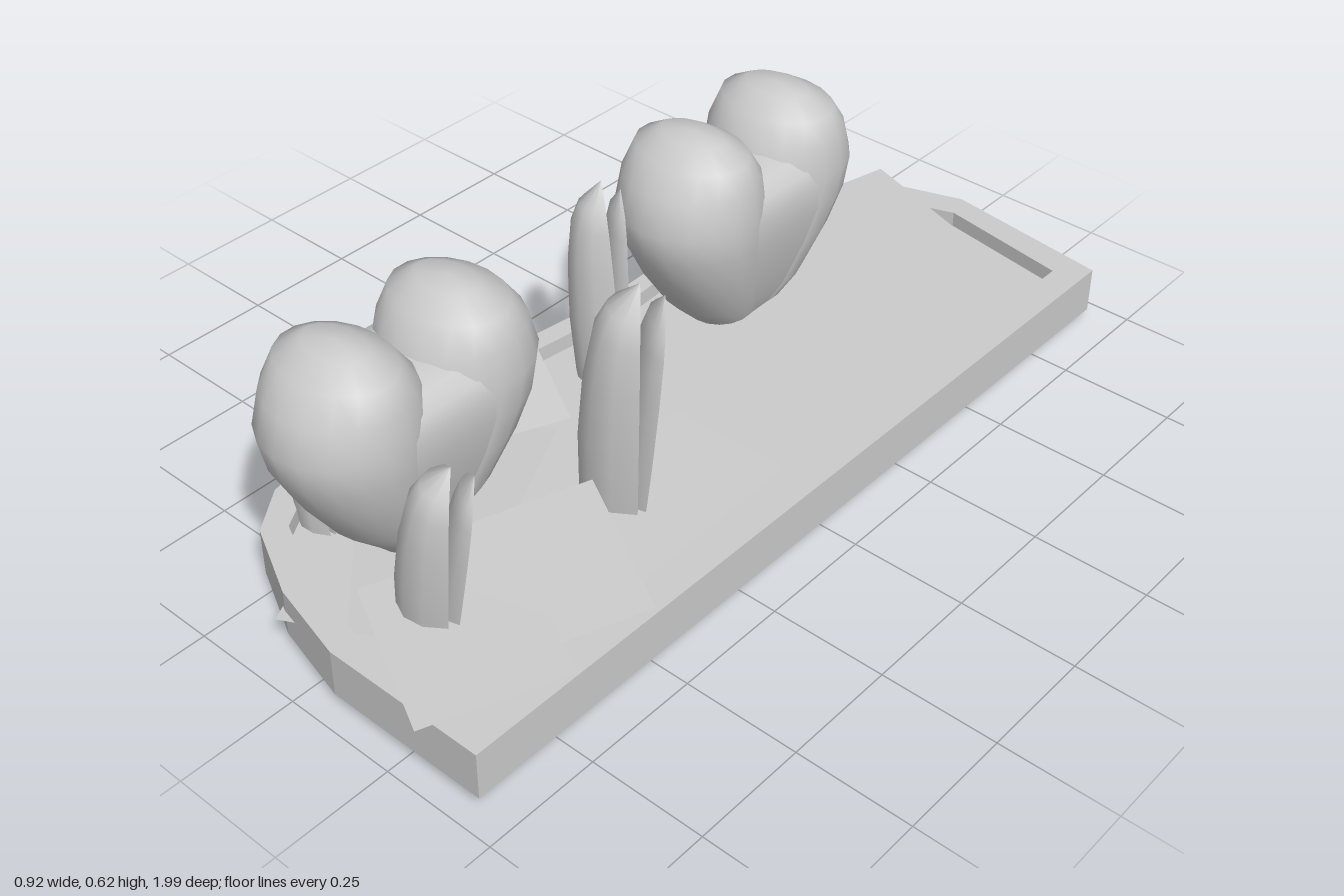
import * as THREE from 'three';
import { mergeVertices } from 'three/addons/utils/BufferGeometryUtils.js';

const mat = new THREE.MeshStandardMaterial({ color: 0xcccccc });
const thin = new THREE.MeshStandardMaterial({ color: 0xcccccc, side: THREE.DoubleSide });

// Bed outlines as (x, z), running from the back, down the curved side, to the front
const outer = [[0.04, -1], [-0.11, -0.95], [-0.21, -0.83], [-0.3, -0.62], [-0.31, -0.33], [-0.305, -0.16],
  [-0.335, 0.08], [-0.39, 0.4], [-0.38, 0.6], [-0.35, 0.73], [-0.28, 0.825], [-0.12, 0.905], [0.06, 0.95],
  [0.425, 0.95], [0.425, -0.95]];
const inner = [[0.06, -0.94], [-0.08, -0.89], [-0.17, -0.8], [-0.25, -0.61], [-0.27, -0.33], [-0.26, -0.15],
  [-0.29, 0.09], [-0.34, 0.4], [-0.335, 0.58], [-0.305, 0.69], [-0.25, 0.78], [-0.1, 0.85], [0.06, 0.89],
  [0.36, 0.89], [0.36, -0.89]];
const toPoints = (list) => list.map(([x, z]) => new THREE.Vector2(x, -z));

function add(parent, name, geometry, material = mat) {
  const mesh = new THREE.Mesh(geometry, material);
  mesh.name = name;
  parent.add(mesh);
  return mesh;
}

function slab(shape, y0, y1) {
  const g = new THREE.ExtrudeGeometry(shape, { depth: y1 - y0, bevelEnabled: false });
  return g.rotateX(-Math.PI / 2).translate(0, y0, 0);
}

function floorSheet(list, y) {
  const g = new THREE.ShapeGeometry(new THREE.Shape(toPoints(list)));
  return g.rotateX(-Math.PI / 2).translate(0, y, 0);
}

// Sloping band between two outlines of equal length
function band(a, ya, b, yb) {
  const pos = [];
  a.forEach((p, i) => {
    const j = (i + 1) % a.length;
    const A = [p[0], ya, p[1]], B = [a[j][0], ya, a[j][1]];
    const C = [b[j][0], yb, b[j][1]], D = [b[i][0], yb, b[i][1]];
    pos.push(...A, ...B, ...C, ...A, ...C, ...D);
  });
  const g = new THREE.BufferGeometry();
  g.setAttribute('position', new THREE.Float32BufferAttribute(pos, 3));
  g.computeVertexNormals();
  return g;
}

// Flower rows: [radius, height, drift of the centre along z, depth factor]
const lobeRows = [[0.05, 0.08, 0.01, 1], [0.07, 0.13, 0.035, 1], [0.105, 0.2, 0.07, 1], [0.133, 0.3, 0.108, 1],
  [0.15, 0.38, 0.13, 1], [0.156, 0.45, 0.138, 1], [0.148, 0.52, 0.136, 0.92], [0.13, 0.575, 0.135, 0.74],
  [0.075, 0.607, 0.133, 0.6], [0, 0.615, 0.132, 1]];
// Core between the lobes, ending in the cleft
const coreRows = [...lobeRows.slice(0, 5).map(([r, y, d]) => [r * 0.985, y, d, 1]),
  [0.15, 0.44, 0.135, 1], [0.138, 0.475, 0.13, 1], [0.112, 0.5, 0.115, 1], [0.07, 0.512, 0.1, 1], [0, 0.516, 0.09, 1]];

// Lathe whose rows are moved along z; shift gives the direction for each vertex
function driftingLathe(rows, shift) {
  let g = new THREE.LatheGeometry(rows.map(([r, y]) => new THREE.Vector2(r, y)), 18);
  g.deleteAttribute('uv');
  g.deleteAttribute('normal');
  g = mergeVertices(g, 1e-5);
  const p = g.attributes.position;
  for (let i = 0; i < p.count; i++) {
    const row = rows.find((r) => Math.abs(r[1] - p.getY(i)) < 1e-3);
    p.setZ(i, p.getZ(i) * row[3] + shift(p.getZ(i)) * row[2]);
  }
  g.computeVertexNormals();
  return g;
}

function heartFlower(z) {
  const flower = new THREE.Group();
  flower.name = 'heartFlower';
  for (const side of [-1, 1]) add(flower, 'flowerLobe', driftingLathe(lobeRows, () => side));
  add(flower, 'flowerCore', driftingLathe(coreRows, Math.sign));
  // Hollow foot below the bed
  const foot = new THREE.CylinderGeometry(0.13, 0.112, 0.05, 16, 1, true).translate(0, 0.025, 0);
  add(flower, 'flowerFoot', foot, thin);
  flower.position.set(-0.095, 0, z);
  return flower;
}

// Pointed blade, cupped like a half tube; depth sets the cupping, lift tips the point along z
const leafRows = [[0, 0.084], [0.15, 0.09], [0.4, 0.092], [0.65, 0.084], [0.82, 0.07], [0.91, 0.05], [1, 0]];
function blade(width, height, depth, lift) {
  const cols = 6;
  const g = new THREE.PlaneGeometry(1, 1, cols, leafRows.length - 1);
  const p = g.attributes.position;
  for (let i = 0; i < p.count; i++) {
    const a = ((i % (cols + 1)) / cols - 0.5) * 2.9;
    const [t, w] = leafRows[leafRows.length - 1 - Math.floor(i / (cols + 1))];
    const r = w * width;
    p.setXYZ(i, r * Math.sin(a), t * height, depth * r * Math.cos(a) + lift * t * width);
  }
  g.computeVertexNormals();
  return g;
}

// Upright leaf: deep outer blade with a flatter, shorter one behind it
function uprightLeaf(width, height) {
  const leaf = new THREE.Group();
  leaf.name = 'uprightLeaf';
  add(leaf, 'outerBlade', blade(width, height, 1.15, 0.03), thin);
  add(leaf, 'innerBlade', blade(width * 0.95, height * 0.95, 0.5, -0.015), thin);
  return leaf;
}

// Flat four-cornered ground leaf: corners as [x, y, z]
function sheet(corners) {
  const g = new THREE.BufferGeometry();
  g.setAttribute('position', new THREE.Float32BufferAttribute(corners.flat(), 3));
  g.setIndex([0, 2, 1, 0, 3, 2]);
  g.computeVertexNormals();
  return g;
}

export function createModel() {
  const model = new THREE.Group();
  model.name = 'flowerBed';

  // Curb: full upper ring, lower skirt left open along the back
  const ring = new THREE.Shape(toPoints(outer));
  ring.holes.push(new THREE.Path(toPoints(inner)));
  add(model, 'curbTop', slab(ring, 0.075, 0.125));
  const skirt = [...outer.slice(1), [0.36, -0.95], ...inner.slice(1, -1).reverse()];
  add(model, 'curbSkirt', slab(new THREE.Shape(toPoints(skirt)), 0.02, 0.075));

  // Soil above, and a tray below with a sloping edge
  add(model, 'soil', floorSheet(inner, 0.09), thin);
  const tray = inner.map(([x, z]) => [0.02 + (x - 0.02) * 0.93, z * 0.97]);
  add(model, 'trayEdge', band(inner, 0.02, tray, 0.04), thin);
  add(model, 'tray', floorSheet(tray, 0.04), thin);

  for (const z of [0.61, -0.33]) model.add(heartFlower(z));

  // Leaves: x, z, width, height, turn, lean
  const leaves = [
    [0.155, 0.255, 1.08, 0.59, -0.68, -0.1],
    [0.125, 0.725, 0.95, 0.455, -0.68, -0.17],
    [-0.238, 0.67, 0.72, 0.42, -0.75, 0.04],
    [-0.145, -0.03, 0.88, 0.52, -0.55, 0.02],
  ];
  for (const [x, z, width, height, turn, lean] of leaves) {
    const leaf = uprightLeaf(width, height);
    leaf.position.set(x, 0.035, z);
    leaf.rotation.set(0, turn, lean, 'ZYX');
    model.add(leaf);
  }

  // Flat leaves spread over the bed
  const sheets = [
    [[-0.13, 0.18, -0.91], [0.21, 0.185, -0.79], [0.01, 0.14, -0.2], [-0.33, 0.135, -0.32]],
    [[0.08, 0.15, -0.41], [0.34, 0.145, -0.15], [0.0, 0.125, 0.13], [-0.26, 0.13, -0.13]],
    [[-0.31, 0.185, 0.08], [-0.06, 0.145, 0.21], [-0.21, 0.115, 0.47], [-0.46, 0.155, 0.34]],
    [[0.08, 0.145, 0.05], [0.355, 0.145, 0.05], [0.355, 0.128, 0.5], [0.08, 0.128, 0.5]],
    [[0.16, 0.215, 0.38], [0.46, 0.19, 0.54], [0.3, 0.145, 0.85], [0, 0.17, 0.69]],
    [[0.13, 0.18, 0.57], [0.45, 0.167, 0.73], [0.32, 0.14, 0.99], [0, 0.153, 0.83]],
    [[-0.36, 0.1, 0.38], [-0.06, 0.14, 0.25], [0.2, 0.11, 0.8], [-0.12, 0.075, 0.93]],
  ];
  for (const corners of sheets) add(model, 'flatLeaf', sheet(corners), thin);

  return model;
}
